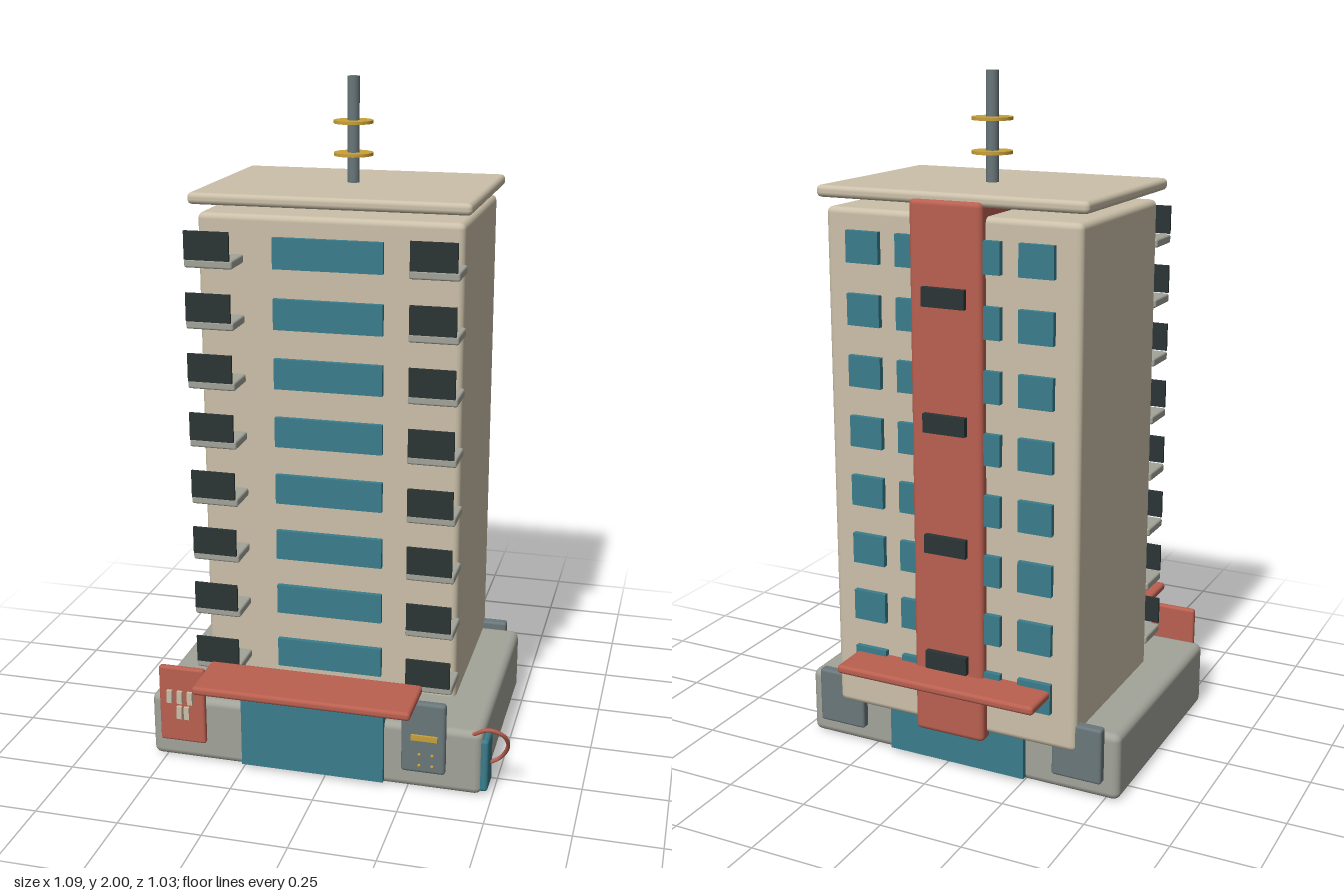
import * as THREE from 'three';
import { RoundedBoxGeometry } from 'three/addons/geometries/RoundedBoxGeometry.js';

const mat = (name, color) => {
  const m = new THREE.MeshStandardMaterial({ color });
  m.name = name;
  return m;
};

export function createModel() {
  const model = new THREE.Group();
  model.name = 'towerBlock';

  const beige = mat('beige concrete', 0xcbc0a9);
  const grey = mat('grey concrete', 0xa2a399);
  const red = mat('brick red', 0xba6050);
  const teal = mat('teal glass', 0x3a7d8c);
  const dark = mat('dark railing', 0x2b3435);
  const slate = mat('slate metal', 0x6a777b);
  const gold = mat('gold', 0xc9a13a);

  const add = (name, geometry, material, x, y, z) => {
    const mesh = new THREE.Mesh(geometry, material);
    mesh.name = name;
    mesh.position.set(x, y, z);
    model.add(mesh);
    return mesh;
  };
  // Box given by its extents, with optional rounded edges
  const box = (name, material, [x0, x1], [y0, y1], [z0, z1], r = 0) => {
    const s = [x1 - x0, y1 - y0, z1 - z0];
    const g = r ? new RoundedBoxGeometry(...s, 2, r) : new THREE.BoxGeometry(...s);
    return add(name, g, material, (x0 + x1) / 2, (y0 + y1) / 2, (z0 + z1) / 2);
  };

  const cx = -0.035; // centre line of the tower

  // Main masses
  box('base', grey, [-0.542, 0.47], [0, 0.203], [-0.353, 0.362], 0.022);
  box('tower', beige, [-0.423, 0.352], [0.14, 1.635], [-0.385, 0.162], 0.018);
  box('roofSlab', beige, [-0.444, 0.374], [1.66, 1.694], [-0.4, 0.187], 0.014);
  box('stairShaft', red, [-0.145, 0.075], [0.12, 1.675], [-0.412, -0.22], 0.015);

  // Floors: front window band, two balconies, four rear windows
  for (let i = 0; i < 8; i++) {
    const y = 1.53 - i * 0.1765;
    const rows = [y - 0.045, y + 0.045];
    box('frontWindow', teal, [-0.197, 0.125], rows, [0.155, 0.177]);
    for (const side of [-1, 1]) {
      const x = cx + side * 0.323;
      box('balconySlab', grey, [x - 0.071, x + 0.071], [y - 0.035, y - 0.01], [0.15, 0.263], 0.006);
      box('balconyRail', dark, [x - 0.066, x + 0.066], [y - 0.01, y + 0.072], [0.266, 0.274]);
      for (const off of [0.108, 0.264]) {
        const wx = cx + side * off;
        box('rearWindow', teal, [wx - 0.051, wx + 0.051], rows, [-0.401, -0.378]);
      }
    }
  }

  // Slots on the stair shaft
  for (let i = 0; i < 4; i++) {
    const y = 1.415 - i * 0.353;
    box('shaftSlot', dark, [-0.1, 0.03], [y - 0.027, y + 0.027], [-0.428, -0.41]);
  }

  // Entrances and canopies
  box('frontEntrance', teal, [-0.254, 0.18], [0.012, 0.3], [0.34, 0.377]);
  box('frontCanopy', red, [-0.357, 0.287], [0.296, 0.322], [0.332, 0.512], 0.01);
  box('rearEntrance', teal, [-0.254, 0.184], [0.012, 0.2], [-0.37, -0.34]);
  box('rearCanopy', red, [-0.348, 0.278], [0.296, 0.322], [-0.515, -0.335], 0.01);

  // Rear wall panels
  box('rearPanel', slate, [-0.497, -0.345], [0.055, 0.223], [-0.378, -0.345], 0.008);
  box('rearPanel', slate, [0.275, 0.427], [0.055, 0.223], [-0.378, -0.345], 0.008);

  // Front red panel with plain raised studs
  box('redPanel', red, [-0.51, -0.367], [0.063, 0.307], [0.358, 0.379], 0.008);
  for (const [x, y] of [[-0.475, 0.213], [-0.443, 0.213], [-0.411, 0.213], [-0.445, 0.163], [-0.422, 0.163]])
    box('panelStud', beige, [x - 0.008, x + 0.008], [y - 0.02, y + 0.02], [0.375, 0.389]);

  // Front slate panel with gold strip and buttons
  box('slatePanel', slate, [0.234, 0.365], [0.063, 0.288], [0.357, 0.383], 0.01);
  box('goldStrip', gold, [0.265, 0.343], [0.171, 0.188], [0.38, 0.39]);
  for (const x of [0.295, 0.333])
    for (const y of [0.105, 0.14])
      add('goldButton', new THREE.SphereGeometry(0.005, 8, 6), gold, x, y, 0.411);

  // Side cabinet and its cable
  box('sideCabinet', teal, [0.44, 0.486], [0.01, 0.176], [0.271, 0.354], 0.01);
  const path = new THREE.CatmullRomCurve3([
    [0.437, 0.19, 0.35], [0.49, 0.225, 0.373], [0.528, 0.205, 0.358],
    [0.539, 0.155, 0.325], [0.512, 0.097, 0.297], [0.483, 0.08, 0.3],
  ].map((p) => new THREE.Vector3(...p)));
  add('cable', new THREE.TubeGeometry(path, 24, 0.006, 8), red, 0, 0, 0);

  // Roof mast with two discs
  add('mast', new THREE.CylinderGeometry(0.018, 0.018, 0.32, 16), slate, cx, 1.84, -0.123);
  for (const y of [1.777, 1.87])
    add('mastDisc', new THREE.CylinderGeometry(0.058, 0.058, 0.009, 32), gold, cx, y, -0.123);

  return model;
}
